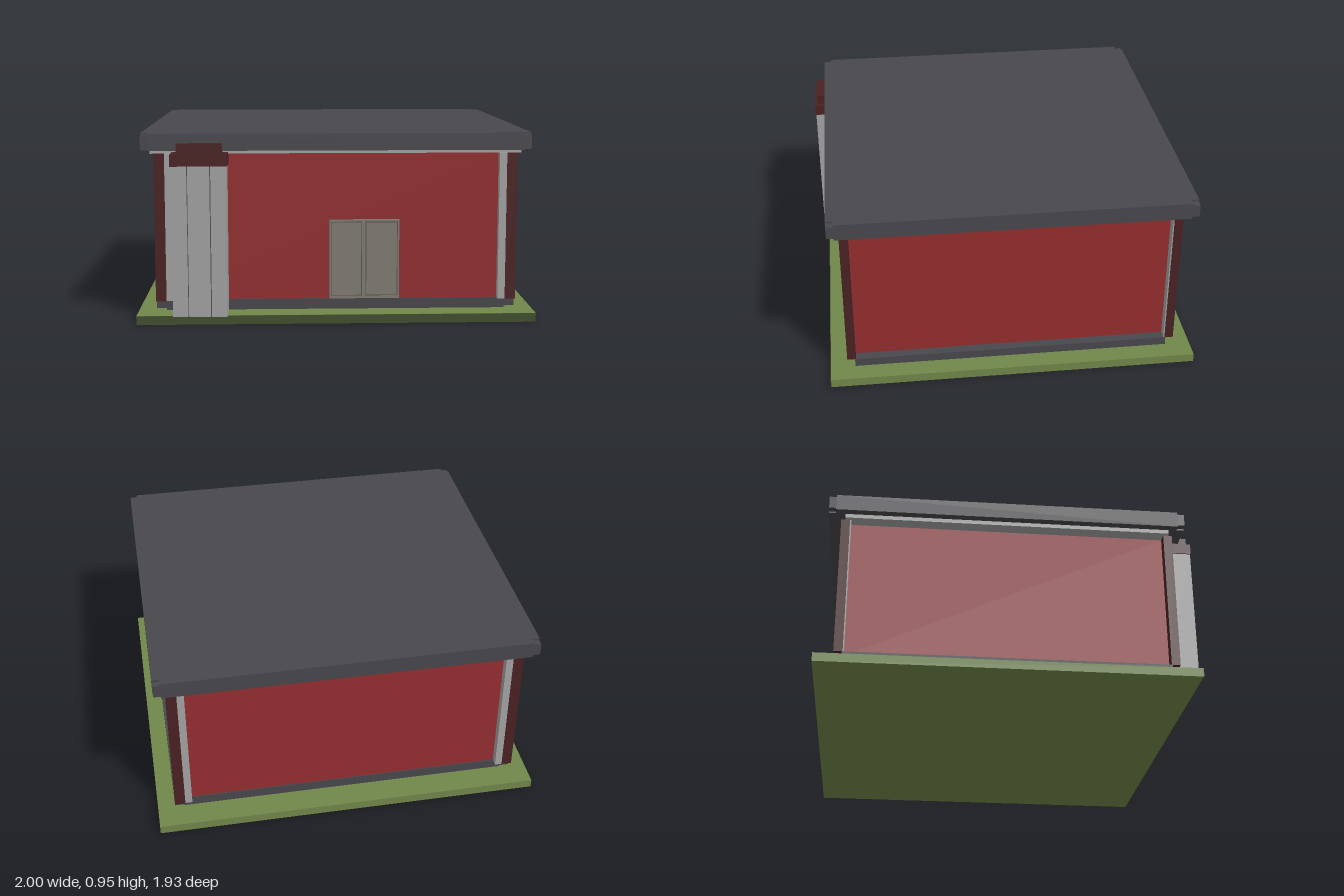
import * as THREE from 'three';

const mat = (name, color) => {
  const m = new THREE.MeshStandardMaterial({ color });
  m.name = name;
  return m;
};

export function createModel() {
  const model = new THREE.Group();
  model.name = 'building';
  const grass = mat('grass green', 0x70874a);
  const darkGrass = mat('dark green', 0x414e2d);
  const red = mat('wall red', 0x942d2f);
  const maroon = mat('dark red', 0x4a2123);
  const slate = mat('slate grey', 0x48474c);
  const pale = mat('pale grey', 0xa2a3a2);
  const doorGrey = mat('door grey', 0x7e7c72);
  const seam = mat('seam grey', 0x55544f);

  // Box given by its min and max on each axis
  const box = (name, m, x0, x1, y0, y1, z0, z1, parent = model) => {
    const mesh = new THREE.Mesh(new THREE.BoxGeometry(x1 - x0, y1 - y0, z1 - z0), m);
    mesh.position.set((x0 + x1) / 2, (y0 + y1) / 2, (z0 + z1) / 2);
    mesh.name = name;
    parent.add(mesh);
    return mesh;
  };

  // Lawn slab with a darker front edge
  box('lawn', grass, -1, 1, 0, 0.045, -0.965, 0.932);
  box('lawnFrontEdge', darkGrass, -1, 1, 0, 0.044, 0.932, 0.935);

  // Plinth, walls and the pale band under the eaves
  box('plinthFoot', slate, -0.86, 0.86, 0.045, 0.056, -0.825, 0.8);
  box('plinth', slate, -0.91, 0.91, 0.056, 0.1, -0.83, 0.805);
  box('walls', red, -0.86, 0.86, 0.1, 0.845, -0.825, 0.8);
  box('eavesBand', pale, -0.93, 0.93, 0.845, 0.868, -0.848, 0.825);

  // Corner pillars with pale strips facing front and back
  for (const s of [-1, 1]) {
    const span = (a, b) => (s > 0 ? [a, b] : [-b, -a]);
    for (const [z0, z1] of [[0.8, 0.845], [-0.87, -0.825]]) {
      box('cornerPillar', maroon, ...span(0.857, 0.91), 0.1, 0.845, z0, z1);
      box('cornerStrip', pale, ...span(0.82, 0.857), 0.1, 0.845, z0 + 0.002, z1 - 0.002);
    }
    box('pillarLining', pale, ...span(0.86, 0.908), 0.1, 0.845, -0.825, -0.819);
  }

  // Flat roof with notched corners
  const hx = 0.97, hz = 0.919, n = 0.038, zc = -0.015;
  const outline = new THREE.Shape([
    [hx, -hz + n], [hx, hz - n], [hx - n, hz - n], [hx - n, hz],
    [-hx + n, hz], [-hx + n, hz - n], [-hx, hz - n], [-hx, -hz + n],
    [-hx + n, -hz + n], [-hx + n, -hz], [hx - n, -hz], [hx - n, -hz + n],
  ].map(([x, y]) => new THREE.Vector2(x, y)));
  const roofGeo = new THREE.ExtrudeGeometry(outline, { depth: 0.085, bevelEnabled: false });
  roofGeo.rotateX(-Math.PI / 2);
  const roof = new THREE.Mesh(roofGeo, slate);
  roof.name = 'roof';
  roof.position.set(0, 0.866, zc);
  model.add(roof);
  for (const sx of [-1, 1]) for (const sz of [-1, 1]) {
    const x = sx * (hx - n / 2 - 0.002), z = zc + sz * (hz - n / 2 - 0.002);
    box('roofCorner', slate, x - n / 2, x + n / 2, 0.875, 0.94, z - n / 2, z + n / 2);
  }

  // Double door on the front
  const door = new THREE.Group();
  door.name = 'door';
  model.add(door);
  box('doorFrame', doorGrey, -0.035, 0.32, 0.1, 0.506, 0.798, 0.81, door);
  for (const [a, b] of [[-0.027, 0.131], [0.149, 0.312]]) {
    box('leafOutline', seam, a, b, 0.115, 0.495, 0.809, 0.812, door);
    box('doorLeaf', doorGrey, a + 0.004, b - 0.004, 0.119, 0.491, 0.81, 0.814, door);
  }

  // Panelled chimney stack with a two-step cap
  const chimney = new THREE.Group();
  chimney.name = 'chimney';
  model.add(chimney);
  box('stackCore', seam, -0.81, -0.55, 0.045, 0.8, 0.8, 0.955, chimney);
  for (const [a, b] of [[-0.815, -0.739], [-0.735, -0.627], [-0.622, -0.545]])
    box('stackPanel', pale, a, b, 0.045, 0.8, 0.8, 0.962, chimney);
  box('lowerCap', maroon, -0.82, -0.54, 0.795, 0.853, 0.8, 0.965, chimney);
  box('upperCap', maroon, -0.79, -0.567, 0.853, 0.904, 0.86, 0.951, chimney);

  return model;
}
